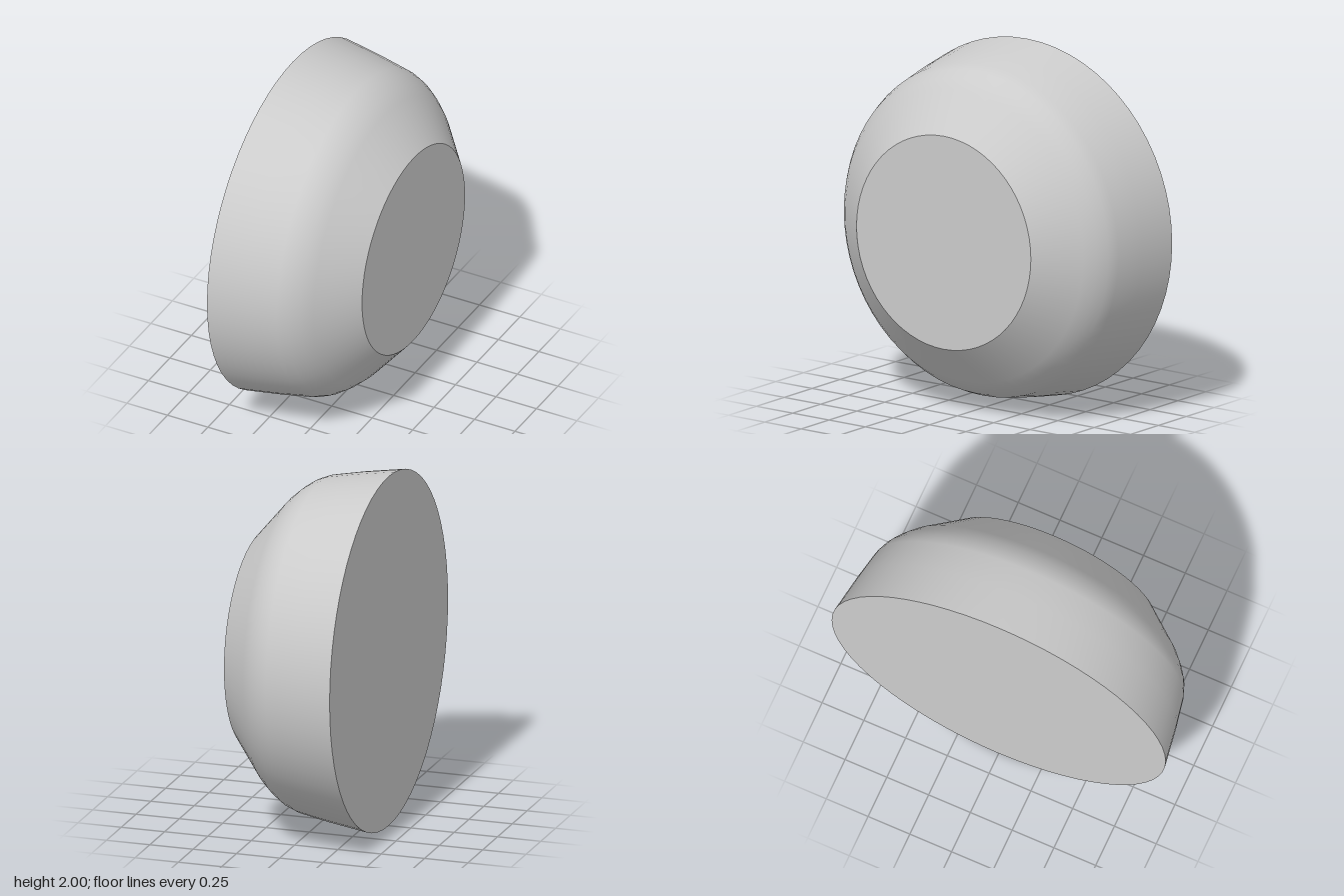
import * as THREE from 'three';

const HALF = 0.373;       // half the thickness along x
const SEGMENTS = 64;

export function createModel() {
  const group = new THREE.Group();
  group.name = 'roundedCap';
  const material = new THREE.MeshStandardMaterial({ color: 0xcccccc });

  function add(name, geometry, x) {
    const mesh = new THREE.Mesh(geometry, material);
    mesh.name = name;
    mesh.position.set(x, 1, 0);
    group.add(mesh);
  }

  // Side wall: slight taper, rounded shoulder, then a straight bevel
  const profile = [
    [1, -HALF], [0.965, -0.15], [0.932, 0.02], [0.908, 0.08],
    [0.87, 0.135], [0.82, 0.19], [0.6, HALF],
  ].map(([r, h]) => new THREE.Vector2(r, h));
  add('sideWall', new THREE.LatheGeometry(profile, SEGMENTS).rotateZ(-Math.PI / 2), 0);

  // Small flat face on +x and large flat base on -x
  add('flatFace', new THREE.CircleGeometry(0.6, SEGMENTS).rotateY(Math.PI / 2), HALF);
  add('flatBase', new THREE.CircleGeometry(1, SEGMENTS).rotateY(-Math.PI / 2), -HALF);

  return group;
}
